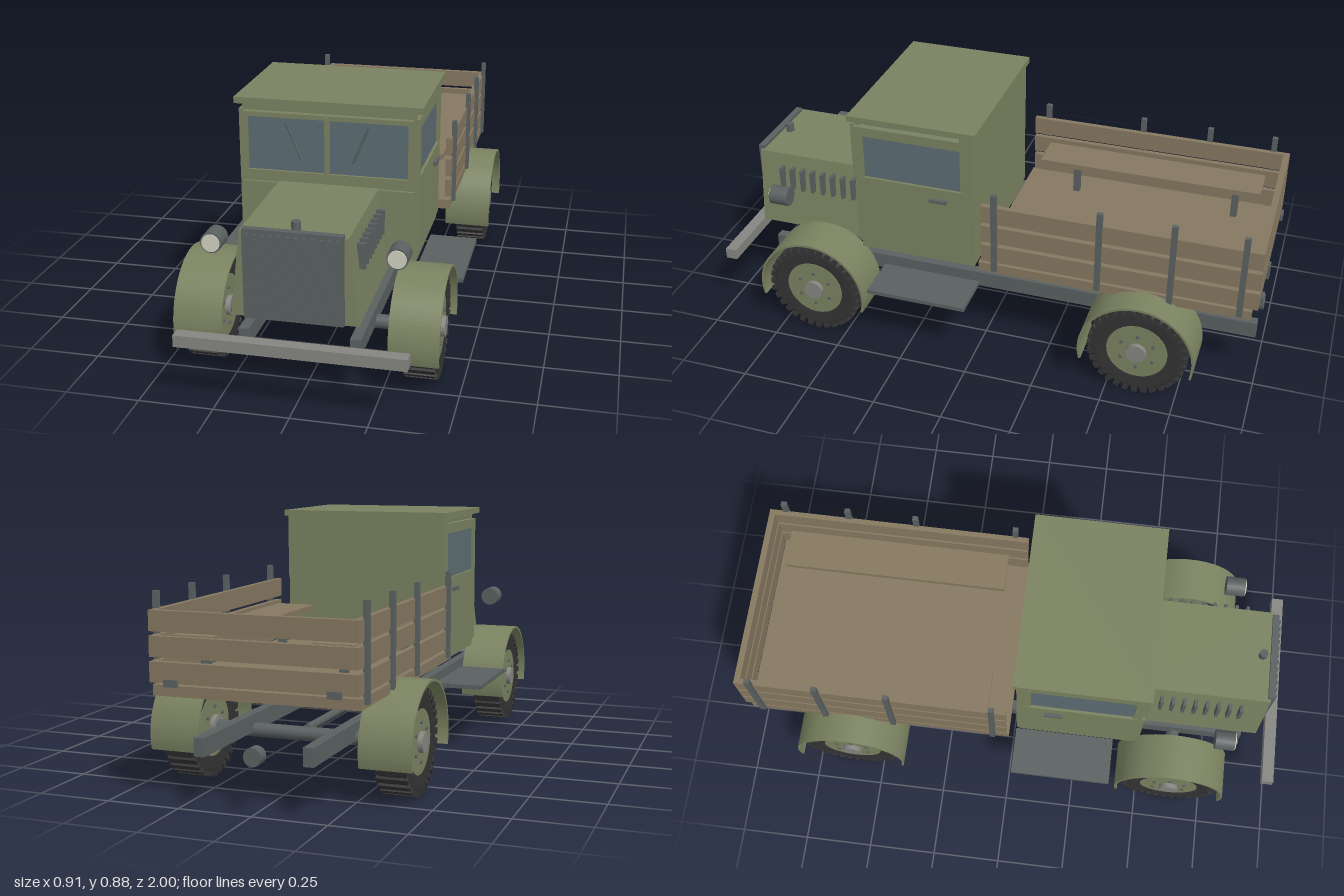
import * as THREE from 'three';

const mat = (color) => new THREE.MeshStandardMaterial({ color });
const GREEN = mat(0x7a8260), WOOD = mat(0x857860), STEEL = mat(0x5a6060), RUBBER = mat(0x333333);
const GLASS = mat(0x5c6c72), BUMPER = mat(0x858581), LENS = mat(0xd0d0c0);

function add(parent, name, geometry, material) {
  const m = new THREE.Mesh(geometry, material);
  m.name = name;
  parent.add(m);
  return m;
}

// box given by its min and max on each axis
function box(parent, name, material, x0, x1, y0, y1, z0, z1) {
  const m = add(parent, name, new THREE.BoxGeometry(x1 - x0, y1 - y0, z1 - z0), material);
  m.position.set((x0 + x1) / 2, (y0 + y1) / 2, (z0 + z1) / 2);
  return m;
}

// the same box on both sides
function pair(parent, name, material, x0, x1, ...rest) {
  box(parent, name + 'Left', material, x0, x1, ...rest);
  box(parent, name + 'Right', material, -x1, -x0, ...rest);
}

// cylinder along an axis, centred at x, y, z
function rod(parent, name, material, axis, r, len, x, y, z, sides = 24) {
  const g = new THREE.CylinderGeometry(r, r, len, sides);
  if (axis === 'x') g.rotateZ(Math.PI / 2);
  if (axis === 'z') g.rotateX(Math.PI / 2);
  const m = add(parent, name, g, material);
  m.position.set(x, y, z);
  return m;
}

// wheel with tread blocks, disc, hub and bolts
function wheel(x, z) {
  const w = new THREE.Group();
  w.name = 'wheel';
  const profile = [[0.1, -0.045], [0.15, -0.052], [0.166, -0.046], [0.168, 0], [0.166, 0.046], [0.15, 0.052], [0.1, 0.045]]
    .map(([r, h]) => new THREE.Vector2(r, h));
  add(w, 'tire', new THREE.LatheGeometry(profile, 40).rotateZ(-Math.PI / 2), RUBBER);
  rod(w, 'wheelDisc', GREEN, 'x', 0.108, 0.096, 0, 0, 0, 36);
  rod(w, 'hub', BUMPER, 'x', 0.035, 0.13, 0, 0, 0);
  for (let i = 0; i < 32; i++) {
    const a = i / 32 * Math.PI * 2;
    const t = box(w, 'treadBlock', RUBBER, -0.053, 0.053, -0.01, 0.01, -0.01, 0.01);
    t.position.set(0, Math.cos(a) * 0.167, Math.sin(a) * 0.167);
    t.rotation.x = a;
  }
  for (let i = 0; i < 6; i++) {
    const a = i / 6 * Math.PI * 2;
    rod(w, 'bolt', STEEL, 'x', 0.006, 0.108, 0, Math.cos(a) * 0.065, Math.sin(a) * 0.065, 8);
  }
  w.position.set(x, 0.18, z);
  return w;
}

// thin arched mudguard spanning a little over half a turn
function fender(parent, x0, x1, z) {
  const a = 0.25, s = new THREE.Shape();
  s.absarc(0, 0, 0.205, -a, Math.PI + a, false);
  s.absarc(0, 0, 0.197, Math.PI + a, -a, true);
  const g = new THREE.ExtrudeGeometry(s, { depth: x1 - x0, bevelEnabled: false, curveSegments: 32 });
  g.rotateY(Math.PI / 2);
  const m = add(parent, 'fender', g, GREEN);
  m.position.set(x0, 0.18, z);
}

function chassis(g) {
  pair(g, 'frameRail', STEEL, 0.165, 0.2, 0.17, 0.23, -0.985, 0.87);
  pair(g, 'runningBoard', STEEL, 0.28, 0.453, 0.235, 0.25, 0.015, 0.385);
  box(g, 'bumper', BUMPER, -0.373, 0.373, 0.21, 0.25, 0.957, 1);
  rod(g, 'driveShaft', STEEL, 'z', 0.014, 1.0, 0, 0.18, -0.05);
  rod(g, 'towHitch', STEEL, 'z', 0.03, 0.04, 0, 0.185, -0.97);
  for (const z of [0.615, -0.605]) {
    rod(g, 'axle', STEEL, 'x', 0.024, 0.68, 0, 0.175, z);
    for (const s of [-1, 1]) {
      g.add(wheel(s * 0.367, z));
      const x1 = z > 0 ? 0.44 : 0.45;
      fender(g, s > 0 ? 0.275 : -x1, s > 0 ? x1 : -0.275, z);
    }
  }
  for (const s of [-1, 1]) rod(g, 'towPin', STEEL, 'z', 0.01, 0.04, s * 0.205, 0.165, 0.85, 12);
}

function hood(g) {
  // tapered engine cover
  const s = new THREE.Shape();
  s.moveTo(-0.205, 0.3);
  s.lineTo(0.205, 0.3);
  s.lineTo(0.172, 0.588);
  s.lineTo(-0.172, 0.588);
  const cover = add(g, 'hood', new THREE.ExtrudeGeometry(s, { depth: 0.46, bevelEnabled: false }), GREEN);
  cover.position.z = 0.455;
  // radiator with vertical slats
  box(g, 'radiator', STEEL, -0.16, 0.16, 0.3, 0.6, 0.905, 0.928);
  for (let i = 0; i < 12; i++) {
    const x = -0.143 + i * 0.026;
    box(g, 'radiatorSlat', STEEL, x - 0.005, x + 0.005, 0.31, 0.585, 0.925, 0.936);
  }
  rod(g, 'radiatorCap', STEEL, 'y', 0.015, 0.03, 0, 0.603, 0.877);
  for (let i = 0; i < 8; i++) {
    const z = 0.535 + i * 0.041;
    pair(g, 'hoodLouver', STEEL, 0.178, 0.206, 0.455, 0.54, z - 0.006, z + 0.006);
  }
  // headlights
  for (const x of [-0.302, 0.302]) {
    rod(g, 'headlight', STEEL, 'z', 0.035, 0.07, x, 0.49, 0.775, 28);
    rod(g, 'headlightLens', LENS, 'z', 0.03, 0.006, x, 0.49, 0.811, 28);
  }
}

function cab(g) {
  box(g, 'cabFloor', GREEN, -0.3, 0.3, 0.328, 0.365, 0.025, 0.46);
  box(g, 'cabBody', GREEN, -0.303, 0.303, 0.355, 0.635, 0.02, 0.465);
  box(g, 'cowl', GREEN, -0.293, 0.293, 0.358, 0.585, 0.46, 0.476);
  box(g, 'backPanel', GREEN, -0.305, 0.305, 0.355, 0.858, 0.02, 0.04);
  pair(g, 'door', GREEN, 0.3, 0.31, 0.36, 0.635, 0.045, 0.455);
  pair(g, 'doorHandle', STEEL, 0.305, 0.322, 0.583, 0.595, 0.12, 0.185);
  pair(g, 'rearPillar', GREEN, 0.285, 0.308, 0.63, 0.858, 0.02, 0.07);
  pair(g, 'frontPillar', GREEN, 0.28, 0.308, 0.63, 0.835, 0.432, 0.463);
  pair(g, 'sideRail', GREEN, 0.285, 0.308, 0.8, 0.835, 0.06, 0.45);
  pair(g, 'sideWindow', GLASS, 0.29, 0.3, 0.63, 0.805, 0.06, 0.44);
  // windshield
  box(g, 'windshieldGlass', GLASS, -0.28, 0.28, 0.625, 0.825, 0.463, 0.473);
  box(g, 'windshieldSill', GREEN, -0.285, 0.285, 0.61, 0.63, 0.46, 0.483);
  box(g, 'windshieldHeader', GREEN, -0.285, 0.285, 0.817, 0.833, 0.46, 0.483);
  box(g, 'windshieldDivider', GREEN, -0.008, 0.008, 0.615, 0.83, 0.46, 0.486);
  pair(g, 'windshieldPost', GREEN, 0.273, 0.288, 0.61, 0.833, 0.46, 0.483);
  for (const s of [-1, 1]) {
    const w = rod(g, 'wiper', STEEL, 'y', 0.004, 0.138, s * 0.114, 0.737, 0.48, 8);
    w.rotation.z = -s * -0.39;
    w.rotation.z = -s * Math.atan2(0.052, 0.127);
  }
  // roof
  box(g, 'roofFrame', GREEN, -0.295, 0.295, 0.848, 0.86, 0.03, 0.465);
  box(g, 'frontHeader', GREEN, -0.295, 0.295, 0.828, 0.858, 0.445, 0.462);
  box(g, 'roof', GREEN, -0.32, 0.32, 0.857, 0.879, 0.01, 0.48);
}

function cargoBed(g) {
  box(g, 'bedFloor', WOOD, -0.345, 0.345, 0.35, 0.385, -0.97, -0.005);
  for (let i = 0; i < 3; i++) {
    const y = 0.395 + i * 0.08;
    pair(g, 'sidePlank', WOOD, 0.325, 0.345, y, y + 0.066, -0.985, -0.015);
    box(g, 'tailPlank', WOOD, -0.345, 0.345, y, y + 0.066, -0.99, -0.968);
  }
  for (const z of [-0.065, -0.438, -0.692, -0.93])
    pair(g, 'stake', STEEL, 0.34, 0.357, 0.363, 0.675, z - 0.01, z + 0.01);
  pair(g, 'tailBracket', STEEL, 0.248, 0.292, 0.385, 0.408, -1, -0.985);
  // benches on short legs
  pair(g, 'bench', WOOD, 0.165, 0.305, 0.515, 0.535, -0.915, -0.085);
  for (const z of [-0.213, -0.82])
    pair(g, 'benchLeg', STEEL, 0.222, 0.248, 0.385, 0.516, z - 0.012, z + 0.012);
}

export function createModel() {
  const truck = new THREE.Group();
  truck.name = 'truck';
  for (const build of [chassis, hood, cab, cargoBed]) {
    const g = new THREE.Group();
    g.name = build.name;
    build(g);
    truck.add(g);
  }
  // wipers lean outward at the top
  truck.traverse((o) => { if (o.name === 'wiper') o.rotation.z = -Math.sign(o.position.x) * 0.39; });
  return truck;
}
